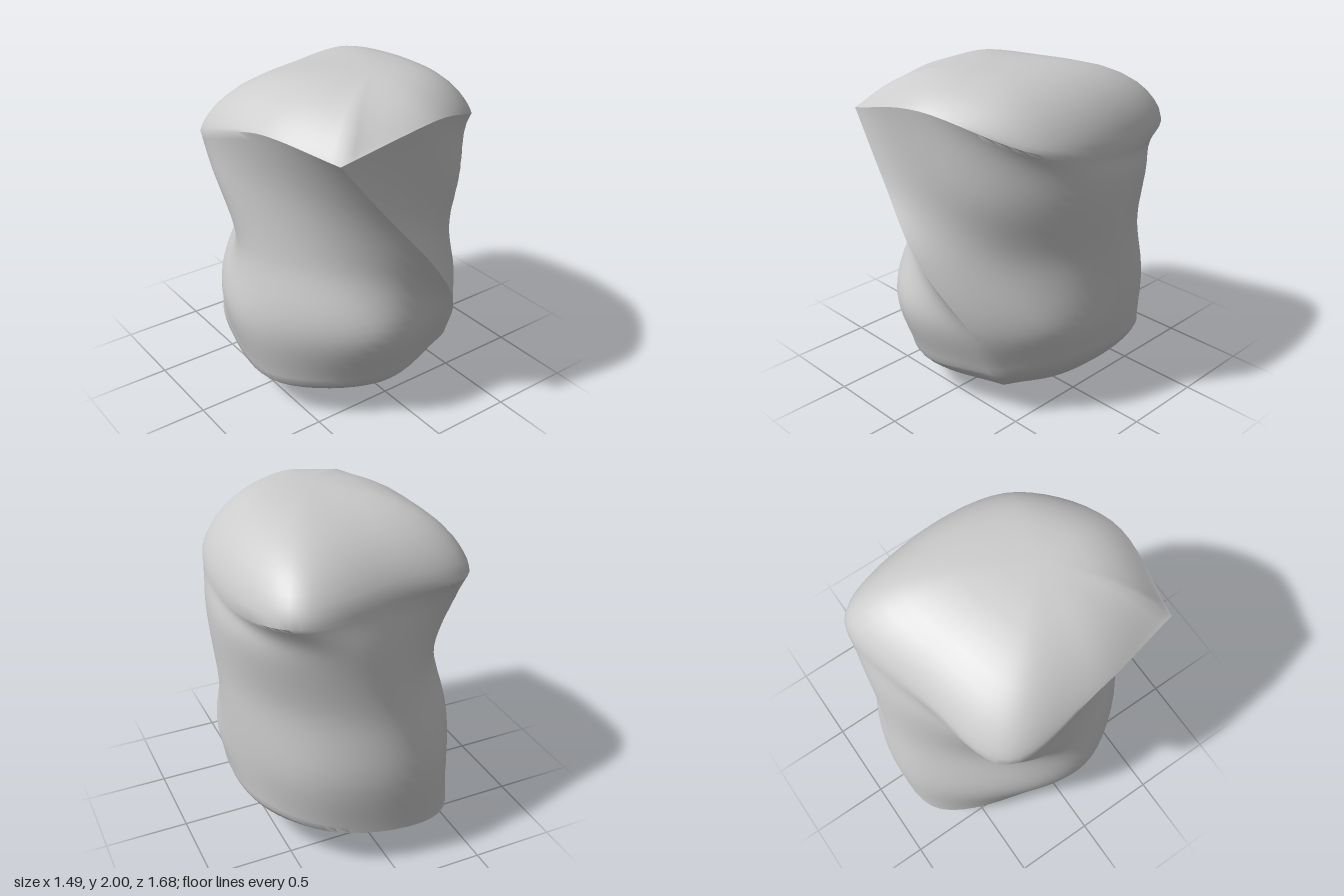
import * as THREE from 'three';
import { toCreasedNormals } from 'three/addons/utils/BufferGeometryUtils.js';

// Plan outlines from bottom to top: x, z of four corners and the middles between them.
// Every outline starts at the front ridge, so the block twists as the corners wander.
// lift shifts single points up or down where a rim is uneven.
const LEVELS = [
  { y: 0.22, p: [0.42, 0.55, -0.13, 0.66, -0.64, 0.27, -0.61, -0.26, -0.34, -0.79, 0.3, -0.73, 0.66, -0.36, 0.67, 0.17],
    lift: [0.08, 0.03, 0, 0, 0, 0.03, 0.13, 0.17] },
  { y: 0.6, p: [0.35, 0.69, -0.25, 0.72, -0.73, 0.18, -0.64, -0.32, -0.21, -0.82, 0.41, -0.69, 0.71, -0.24, 0.66, 0.3] },
  { y: 1.0, p: [0.07, 0.83, -0.4, 0.47, -0.67, 0.02, -0.43, -0.43, -0.02, -0.78, 0.49, -0.55, 0.73, -0.08, 0.5, 0.45] },
  { y: 1.4, p: [-0.26, 0.79, -0.52, 0.3, -0.69, -0.26, -0.35, -0.52, 0.24, -0.75, 0.64, -0.42, 0.73, 0.14, 0.35, 0.65] },
  { y: 1.74, p: [-0.53, 0.75, -0.65, 0.18, -0.67, -0.42, -0.16, -0.6, 0.5, -0.7, 0.7, -0.22, 0.62, 0.45, 0.07, 0.78],
    lift: [0, 0.02, -0.15, -0.12, -0.13, -0.18, -0.06, 0.12] },
];
// How round the rims are at the same eight points: 1 is a plain edge, more is rounder
const BASE_ROUND = [1.3, 1.2, 1.15, 1.1, 1, 1.05, 1.3, 1.4];
const TOP_ROUND = [0.85, 1.05, 1.4, 1.5, 1.6, 1.7, 1.25, 1];
const AROUND = 64, UP = 32;
const STEPS = [0.2, 0.4, 0.55, 0.68, 0.78, 0.86, 0.92, 0.96, 0.985];

// Open spline around one outline; its shared end keeps the front ridge sharp
function outline({ y, p, lift }) {
  const pts = [];
  for (let k = 0; k <= 8; k++) {
    const i = k % 8;
    pts.push(new THREE.Vector3(p[2 * i], y + (lift ? lift[i] : 0), p[2 * i + 1]));
  }
  return new THREE.CatmullRomCurve3(pts, false, 'centripetal').getPoints(AROUND);
}

// Smooth value between the eight points of a list
function around(values, i) {
  const t = i * 8 / AROUND, k = Math.floor(t);
  return THREE.MathUtils.lerp(values[k % 8], values[(k + 1) % 8], THREE.MathUtils.smoothstep(t - k, 0, 1));
}

function rockGeometry() {
  const outlines = LEVELS.map(outline);
  const columns = [];
  for (let i = 0; i <= AROUND; i++) {
    const wall = new THREE.CatmullRomCurve3(outlines.map(o => o[i])).getPoints(UP);
    const low = wall[0], rim = wall[UP];
    const lowRound = 1 / around(BASE_ROUND, i), topRound = 1 / around(TOP_ROUND, i);
    // rounded underside, closing on the middle
    const base = [0, ...STEPS].map(s => new THREE.Vector3(
      low.x * s,
      low.y * (1 - (1 - s ** 2.4) ** lowRound),
      low.z * s));
    // domed top
    const dome = [...STEPS].reverse().concat(0).map(s => new THREE.Vector3(
      THREE.MathUtils.lerp(0.04, rim.x, s),
      rim.y + (2 - rim.y) * (1 - s ** 3) ** topRound,
      THREE.MathUtils.lerp(0.28, rim.z, s)));
    columns.push([...base, ...wall, ...dome]);
  }

  const rows = columns[0].length, index = [];
  for (let i = 0; i < AROUND; i++) {
    for (let j = 0; j < rows - 1; j++) {
      const a = i * rows + j, b = a + rows;
      if (j < rows - 2) index.push(a, a + 1, b + 1);
      if (j > 0) index.push(a, b + 1, b);
    }
  }
  const geometry = new THREE.BufferGeometry().setFromPoints(columns.flat());
  geometry.setIndex(index);
  return toCreasedNormals(geometry, 0.8);
}

export function createModel() {
  const group = new THREE.Group();
  group.name = 'twistedRock';
  const rock = new THREE.Mesh(rockGeometry(), new THREE.MeshStandardMaterial({ color: 0xcccccc }));
  rock.name = 'rock';
  group.add(rock);
  return group;
}
